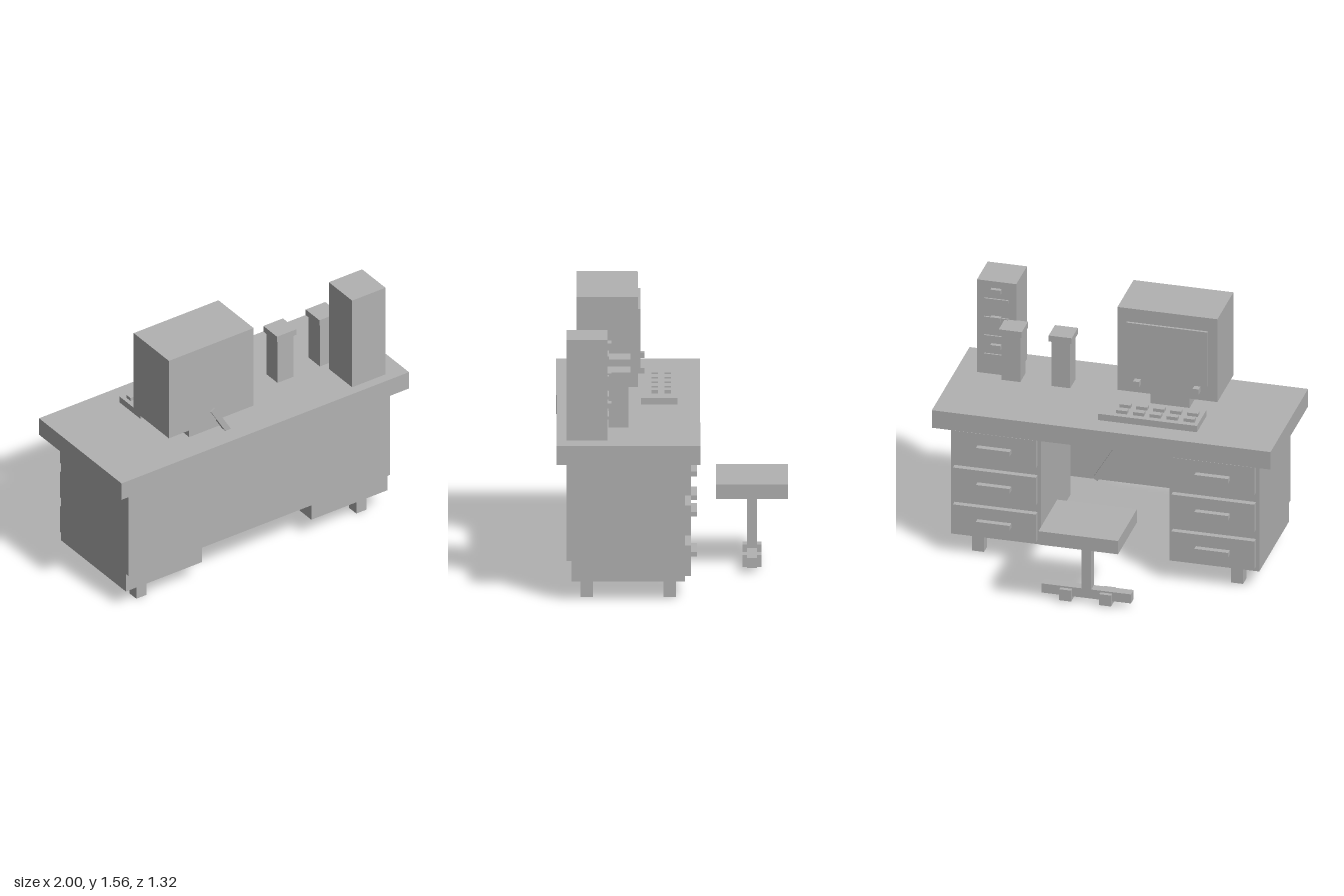
import * as THREE from 'three';

export function createModel() {
  const model = new THREE.Group();
  model.name = 'computerDesk';
  const grey = new THREE.MeshStandardMaterial({ color: 0xb2b2b2 });
  grey.name = 'plain grey';

  const group = (name) => {
    const g = new THREE.Group();
    g.name = name;
    model.add(g);
    return g;
  };

  // Box given by its limits along each axis
  const box = (parent, name, [x0, x1], [y0, y1], [z0, z1]) => {
    const mesh = new THREE.Mesh(new THREE.BoxGeometry(x1 - x0, y1 - y0, z1 - z0), grey);
    mesh.position.set((x0 + x1) / 2, (y0 + y1) / 2, (z0 + z1) / 2);
    mesh.name = name;
    parent.add(mesh);
    return mesh;
  };
  const around = (c, size) => [c - size / 2, c + size / 2];

  // Desk: top, front panel and two drawer pedestals on legs
  const desk = group('desk');
  box(desk, 'deskTop', [-1, 1], [0.828, 0.94], [-0.16, 0.66]);
  box(desk, 'frontPanel', [-0.91, 0.91], [0.24, 0.828], [0.575, 0.602]);
  for (const s of [-1, 1]) {
    const c = s * 0.645;
    box(desk, 'pedestal', around(c, 0.53), [0.12, 0.828], [-0.072, 0.575]);
    for (const z of [0.487, 0.015]) {
      box(desk, 'leg', around(s * 0.765, 0.07), [0, 0.12], around(z, 0.07));
    }
    for (const y of [0.71, 0.473, 0.237]) {
      box(desk, 'drawer', around(c, 0.49), around(y, 0.178), [-0.107, -0.072]);
      box(desk, 'drawerHandle', around(c, 0.2), around(y, 0.028), [-0.142, -0.107]);
    }
  }

  // Monitor with stand, screen and knobs, facing the seat
  const monitor = group('monitor');
  box(monitor, 'monitorStand', around(-0.295, 0.23), [0.94, 1.03], [0.25, 0.49]);
  box(monitor, 'monitorCase', [-0.59, 0], [1.03, 1.56], [0.195, 0.545]);
  box(monitor, 'screen', around(-0.295, 0.48), [1.125, 1.475], [0.18, 0.195]);
  for (const x of [-0.472, -0.12]) {
    box(monitor, 'knob', around(x, 0.036), around(1.099, 0.034), [0.157, 0.195]);
  }

  // Slanted cable running down through the desk top
  const top = new THREE.Vector2(-0.29, 1.115);
  const end = new THREE.Vector2(0.22, 0.265);
  const cable = box(model, 'cable', around(0, 0.033), around(0, top.distanceTo(end)), [0.52, 0.556]);
  cable.position.x = (top.x + end.x) / 2;
  cable.position.y = (top.y + end.y) / 2;
  cable.rotation.z = Math.atan2(end.x - top.x, top.y - end.y);

  // Keyboard with two rows of keys
  const keyboard = group('keyboard');
  box(keyboard, 'keyboardBase', [-0.53, 0.055], [0.94, 0.98], [-0.03, 0.177]);
  for (const z of [0.024, 0.099]) {
    for (let i = 0; i < 5; i++) {
      box(keyboard, 'key', around(-0.473 + i * 0.0995, 0.065), [0.98, 1.0], around(z, 0.038));
    }
  }

  // Two lidded speakers, raised slightly above the desk
  for (const x of [0.35, 0.645]) {
    const speaker = group('speaker');
    box(speaker, 'speakerBody', around(x, 0.112), [0.973, 1.262], [0.25, 0.362]);
    box(speaker, 'speakerLid', around(x, 0.136), [1.262, 1.3], [0.238, 0.374]);
  }

  // Tower with pulls and slots facing the seat
  const tower = group('tower');
  box(tower, 'towerCase', [0.645, 0.877], [0.94, 1.533], [0.37, 0.602]);
  for (const y of [1.477, 1.3, 1.122]) {
    box(tower, 'towerPull', around(0.762, 0.06), around(y, 0.028), [0.345, 0.37]);
  }
  for (const y of [1.415, 1.297, 1.179, 1.061]) {
    box(tower, 'towerSlot', around(0.762, 0.142), around(y, 0.018), [0.36, 0.37]);
  }

  // Stool: seat, stem, cross bar and feet
  const stool = group('stool');
  box(stool, 'seat', around(0, 0.47), [0.43, 0.515], [-0.66, -0.25]);
  box(stool, 'stem', around(0, 0.058), [0.09, 0.43], around(-0.455, 0.058));
  box(stool, 'crossBar', around(0, 0.528), [0.032, 0.09], around(-0.455, 0.058));
  for (const s of [-1, 1]) {
    box(stool, 'foot', around(s * 0.118, 0.07), [0.01, 0.08], around(-0.455, 0.108));
  }

  return model;
}
